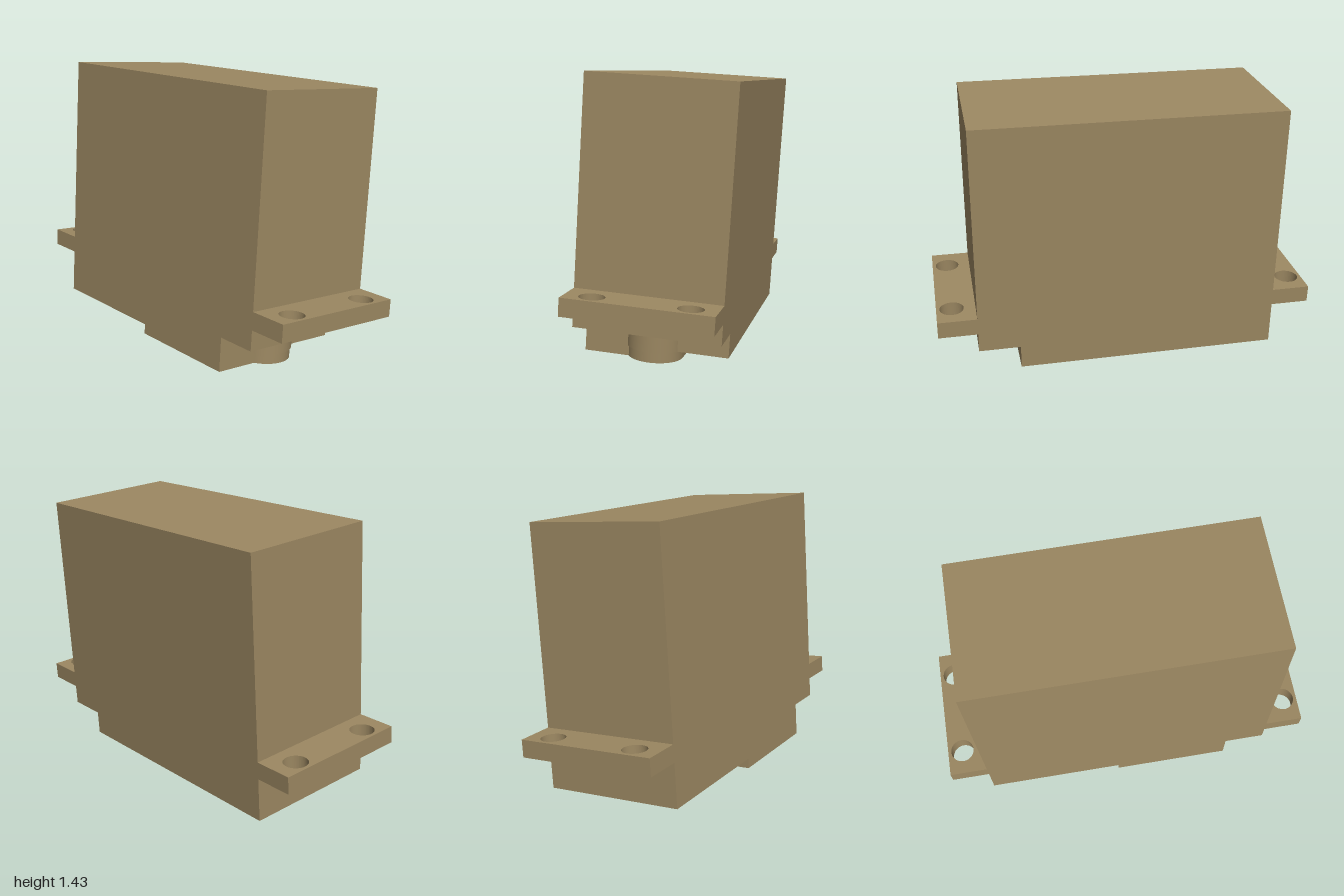
import * as THREE from 'three';

const TILT = 0.065;                   // whole model leans back slightly
const HALF = 0.797;                   // half width of the case
const BACK = -0.32, FRONT = 0.412;    // case depth
const SHAFT_X = 0.508, SHAFT_Z = 0.065;

export function createModel() {
  const tan = new THREE.MeshStandardMaterial({ color: 0x9c8862 });
  tan.name = 'tan';

  const model = new THREE.Group();
  model.name = 'servoMotor';
  const tilted = new THREE.Group();
  tilted.name = 'tiltedServo';
  tilted.rotation.x = -TILT;
  tilted.position.y = -0.003;
  model.add(tilted);

  const add = (name, geometry) => {
    const mesh = new THREE.Mesh(geometry, tan);
    mesh.name = name;
    tilted.add(mesh);
    return mesh;
  };

  // Plan-view shape (x, z) turned into a horizontal slab between two heights
  const slab = (shape, bottom, top) => {
    const g = new THREE.ExtrudeGeometry(shape, { depth: top - bottom, bevelEnabled: false, curveSegments: 24 });
    return g.rotateX(Math.PI / 2).translate(0, top, 0);
  };

  // Case: front outline with a step under the shaft end
  const outline = new THREE.Shape([
    [-HALF, 0.06], [0.58, 0.06], [0.58, 0.185], [HALF, 0.185], [HALF, 1.405], [-HALF, 1.405],
  ].map(([x, y]) => new THREE.Vector2(x, y)));
  const caseGeometry = new THREE.ExtrudeGeometry(outline, { depth: FRONT - BACK, bevelEnabled: false });
  add('case', caseGeometry.translate(0, 0, BACK));

  // Mounting flanges with two screw holes each
  for (const side of [-1, 1]) {
    const x0 = side < 0 ? -1 : HALF, x1 = side < 0 ? -HALF : 1;
    const flange = new THREE.Shape();
    flange.moveTo(x0, BACK).lineTo(x1, BACK).lineTo(x1, FRONT).lineTo(x0, FRONT).closePath();
    for (const z of [-0.19, 0.28]) {
      const hole = new THREE.Path();
      hole.absarc(side * 0.92, z, 0.0625, 0, Math.PI * 2, true);
      flange.holes.push(hole);
    }
    add(side < 0 ? 'rightFlange' : 'leftFlange', slab(flange, 0.289, 0.379));
  }

  // Raised gear cover, rounded around the shaft
  const r = 0.14;
  const start = Math.acos((0.58 - SHAFT_X) / r);
  const cover = new THREE.Shape();
  cover.moveTo(-0.055, FRONT);
  cover.lineTo(0.58, FRONT);
  cover.lineTo(0.58, SHAFT_Z + r * Math.sin(start));
  cover.absarc(SHAFT_X, SHAFT_Z, r, start, -Math.PI / 2, true);
  cover.lineTo(-0.055, SHAFT_Z - r);
  add('gearCover', slab(cover, 0.008, 0.06));

  // Round shaft boss
  const boss = add('shaftBoss', new THREE.CylinderGeometry(0.147, 0.147, 0.125, 32));
  boss.position.set(SHAFT_X, 0.1235, SHAFT_Z);

  return model;
}
